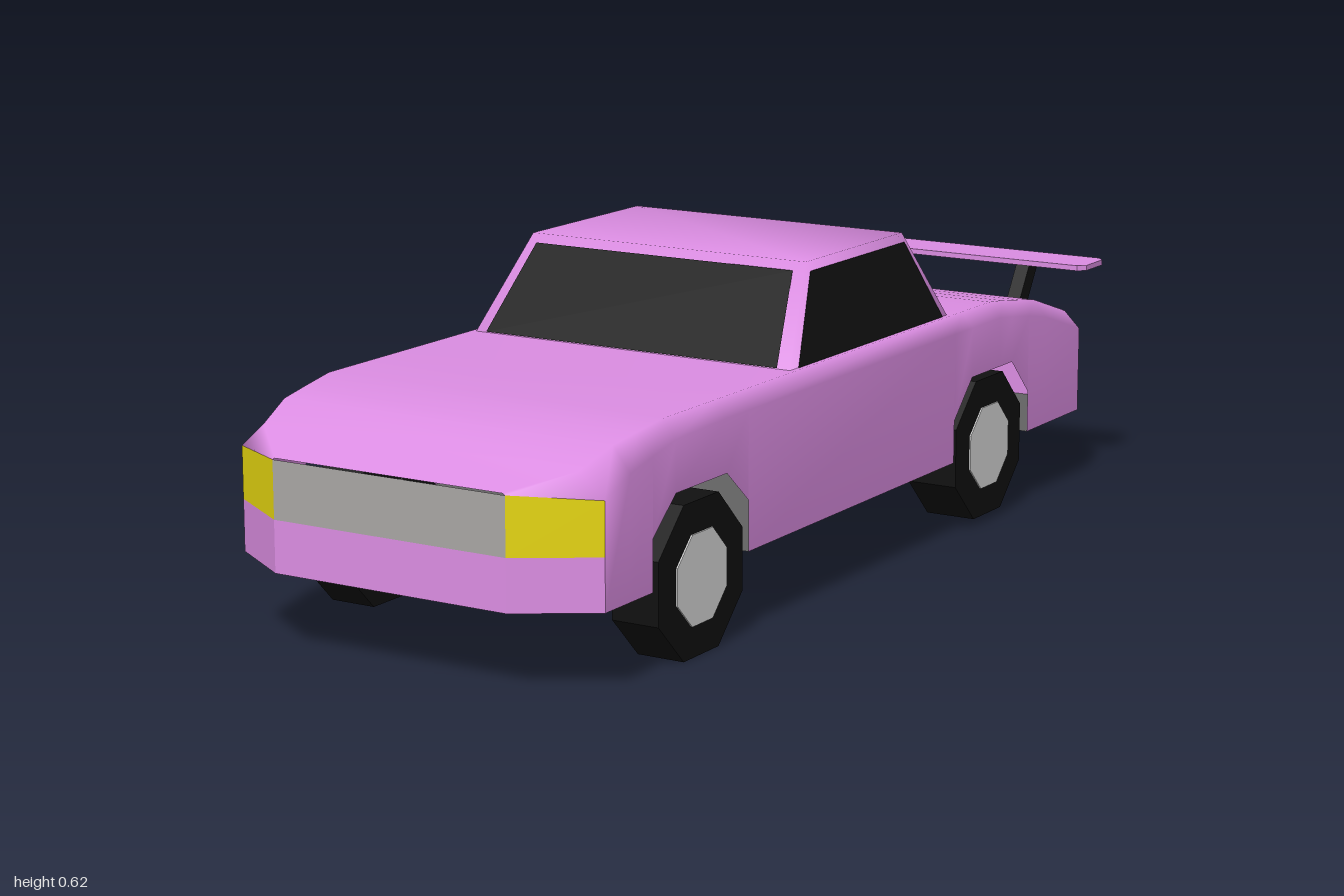
import * as THREE from 'three';
import { mergeVertices } from 'three/addons/utils/BufferGeometryUtils.js';

const mat = (name, color) => new THREE.MeshStandardMaterial({ name, color, side: THREE.DoubleSide });

// Smooth skin over rows of points (rows run front to back, points run -x to +x)
function skin(rows) {
  const n = rows[0].length, index = [], p = rows.flat().map(a => new THREE.Vector3(...a));
  const tri = (a, b, c) => {
    if (new THREE.Triangle(p[a], p[b], p[c]).getArea() > 1e-6) index.push(a, b, c);
  };
  for (let i = 0; i < rows.length - 1; i++) {
    for (let j = 0; j < n - 1; j++) {
      const a = i * n + j, b = a + 1, c = a + n, d = c + 1;
      tri(a, b, c);
      tri(b, d, c);
    }
  }
  let g = new THREE.BufferGeometry().setFromPoints(p);
  g.setIndex(index);
  g = mergeVertices(g);
  g.computeVertexNormals();
  return g;
}

// Flat polygon from corners in counter-clockwise order
function panel(corners) {
  const g = new THREE.BufferGeometry().setFromPoints(corners.map(c => new THREE.Vector3(...c)));
  const index = [];
  for (let i = 1; i < corners.length - 1; i++) index.push(0, i, i + 1);
  g.setIndex(index);
  g.computeVertexNormals();
  return g;
}

// Window inset on a four-cornered face: bottom start, bottom end, top end, top start
function windowPane(corners, inset) {
  const [a, b, c, d] = corners.map(k => new THREE.Vector3(...k));
  const normal = b.clone().sub(a).cross(d.clone().sub(a)).normalize().multiplyScalar(0.004);
  const at = (u, v) => a.clone().lerp(b, u).lerp(d.clone().lerp(c, u), v).add(normal).toArray();
  return panel([at(inset, 0.01), at(1 - inset, 0.01), at(1 - inset, 0.9), at(inset, 0.9)]);
}

function flat(g) {
  const f = g.toNonIndexed();
  f.computeVertexNormals();
  return f;
}

export function createModel() {
  const paint = mat('pink paint', 0xdd8ee4), black = mat('black', 0x111111);
  const grey = mat('trim grey', 0xaaa7a5), under = mat('underside grey', 0x636363);
  const yellow = mat('headlamp yellow', 0xe8d810), red = mat('tail lamp red', 0x8a1010);
  const silver = mat('hub silver', 0xe0e0e0);

  const car = new THREE.Group();
  car.name = 'car';
  const add = (name, geometry, material) => {
    const m = new THREE.Mesh(geometry, material);
    m.name = name;
    car.add(m);
    return m;
  };

  // Body shell: z, lower edge, half width, shoulder height, deck half width, deck height
  const stations = [
    [1, 0.355, 0.245, 0.355, 0.24, 0.358],
    [0.91, 0.345, 0.385, 0.345, 0.335, 0.39],
    [0.91, 0.15, 0.385, 0.345, 0.335, 0.39],
    [0.83, 0.15, 0.385, 0.375, 0.35, 0.42],
    [0.76, 0.15, 0.385, 0.39, 0.355, 0.43],
    [0.76, 0.245, 0.385, 0.39, 0.355, 0.43],
    [0.685, 0.31, 0.385, 0.405, 0.36, 0.44],
    [0.515, 0.31, 0.385, 0.41, 0.36, 0.44],
    [0.44, 0.245, 0.385, 0.41, 0.36, 0.44],
    [0.44, 0.15, 0.385, 0.41, 0.36, 0.44],
    [-0.355, 0.15, 0.385, 0.41, 0.36, 0.44],
    [-0.355, 0.235, 0.385, 0.41, 0.36, 0.44],
    [-0.43, 0.31, 0.385, 0.41, 0.36, 0.44],
    [-0.55, 0.31, 0.385, 0.41, 0.36, 0.44],
    [-0.605, 0.31, 0.385, 0.403, 0.36, 0.434],
    [-0.68, 0.235, 0.385, 0.392, 0.36, 0.423],
    [-0.68, 0.15, 0.385, 0.392, 0.36, 0.423],
    [-0.76, 0.15, 0.385, 0.376, 0.355, 0.41],
    [-0.92, 0.15, 0.385, 0.325, 0.35, 0.36],
    [-0.92, 0.325, 0.385, 0.325, 0.35, 0.36],
    [-1, 0.33, 0.295, 0.33, 0.29, 0.333],
  ];
  add('body shell', skin(stations.map(([z, b, w, s, t, top]) => [
    [-w, b, z], [-w, s, z], [-t, top, z], [t, top, z], [w, s, z], [w, b, z],
  ])), paint);

  // Upright wall between two plan points, with a separate top height at each end
  const wall = (name, [x0, z0], [x1, z1], y, top0, top1, material) =>
    add(name, panel([[x0, y, z0], [x1, y, z1], [x1, top1, z1], [x0, top0, z0]]), material);

  // Nose, grille and headlamps
  const F = [[-0.385, 0.91], [-0.245, 1], [0.245, 1], [0.385, 0.91]];
  for (let i = 0; i < 3; i++) wall('front bumper', F[i], F[i + 1], 0.15, 0.247, 0.247, paint);
  wall('grille', F[1], F[2], 0.247, 0.355, 0.355, grey);
  wall('right headlamp', F[0], F[1], 0.247, 0.345, 0.355, yellow);
  wall('left headlamp', F[2], F[3], 0.247, 0.355, 0.345, yellow);

  // Tail, trim strip and tail lamps
  const R = [[0.385, -0.92], [0.295, -1], [-0.295, -1], [-0.385, -0.92]];
  for (let i = 0; i < 3; i++) wall('rear bumper', R[i], R[i + 1], 0.15, 0.25, 0.25, paint);
  wall('rear lamp strip', R[1], R[2], 0.25, 0.295, 0.295, red);
  wall('rear trim', R[1], R[2], 0.295, 0.33, 0.33, grey);
  wall('left tail lamp', R[0], R[1], 0.25, 0.325, 0.33, red);
  wall('right tail lamp', R[2], R[3], 0.25, 0.33, 0.325, red);

  // Floor plates between the wheel wells
  const floor = (name, plan) => add(name, panel(plan.map(([x, z]) => [x, 0.15, z])), under);
  floor('front floor', [[-0.385, 0.76], [0.385, 0.76], F[3], F[2], F[1], F[0]]);
  floor('middle floor', [[-0.385, -0.355], [0.385, -0.355], [0.385, 0.44], [-0.385, 0.44]]);
  floor('rear floor', [[0.385, -0.68], [-0.385, -0.68], R[3], R[2], R[1], R[0]]);

  // Cabin
  const A = [-0.35, 0.438, 0.235], B = [0.35, 0.438, 0.235];
  const C = [-0.35, 0.438, -0.385], D = [0.35, 0.438, -0.385];
  const a = [-0.305, 0.617, 0.1], b = [0.305, 0.617, 0.1];
  const c = [-0.305, 0.617, -0.275], d = [0.305, 0.617, -0.275];
  add('cabin', skin([[A, A, B, B], [A, a, b, B], [C, c, d, D], [C, C, D, D]]), paint);
  add('windshield', windowPane([A, B, b, a], 0.037), black);
  add('rear window', windowPane([D, C, c, d], 0.037), black);
  add('left window', windowPane([B, D, d, b], 0.04), black);
  add('right window', windowPane([C, A, a, c], 0.04), black);

  // Eight-sided wheels, with hubs showing on both faces
  const drum = (r, w) => flat(new THREE.CylinderGeometry(r, r, w, 8).rotateY(Math.PI / 8).rotateZ(Math.PI / 2));
  for (const [end, y, z, width] of [['front', 0.141, 0.6, 0.095], ['rear', 0.156, -0.507, 0.105]]) {
    for (const [side, s] of [['left', 1], ['right', -1]]) {
      const x = s * (0.384 - width / 2);
      add(`${side} ${end} tyre`, drum(0.153, width), black).position.set(x, y, z);
      add(`${side} ${end} hub`, drum(0.09, width + 0.006), silver).position.set(x, y, z);
    }
  }

  // Rear wing on two raked struts
  const plan = new THREE.Shape([
    [-0.4, 0.87], [0.4, 0.87], [0.415, 0.885], [0.415, 0.96],
    [0.4, 0.977], [-0.4, 0.977], [-0.415, 0.96], [-0.415, 0.885],
  ].map(([x, y]) => new THREE.Vector2(x, y)));
  const wing = new THREE.ExtrudeGeometry(plan, { depth: 0.011, bevelEnabled: false }).rotateX(-Math.PI / 2);
  add('rear wing', wing, paint).position.y = 0.457;
  for (const s of [1, -1]) {
    const strut = new THREE.BoxGeometry(0.03, 0.105, 0.042);
    const p = strut.attributes.position;
    for (let i = 0; i < p.count; i++) p.setZ(i, p.getZ(i) - 0.62 * p.getY(i));
    add('wing strut', flat(strut), black).position.set(s * 0.26, 0.407, -0.893);
  }
  return car;
}
